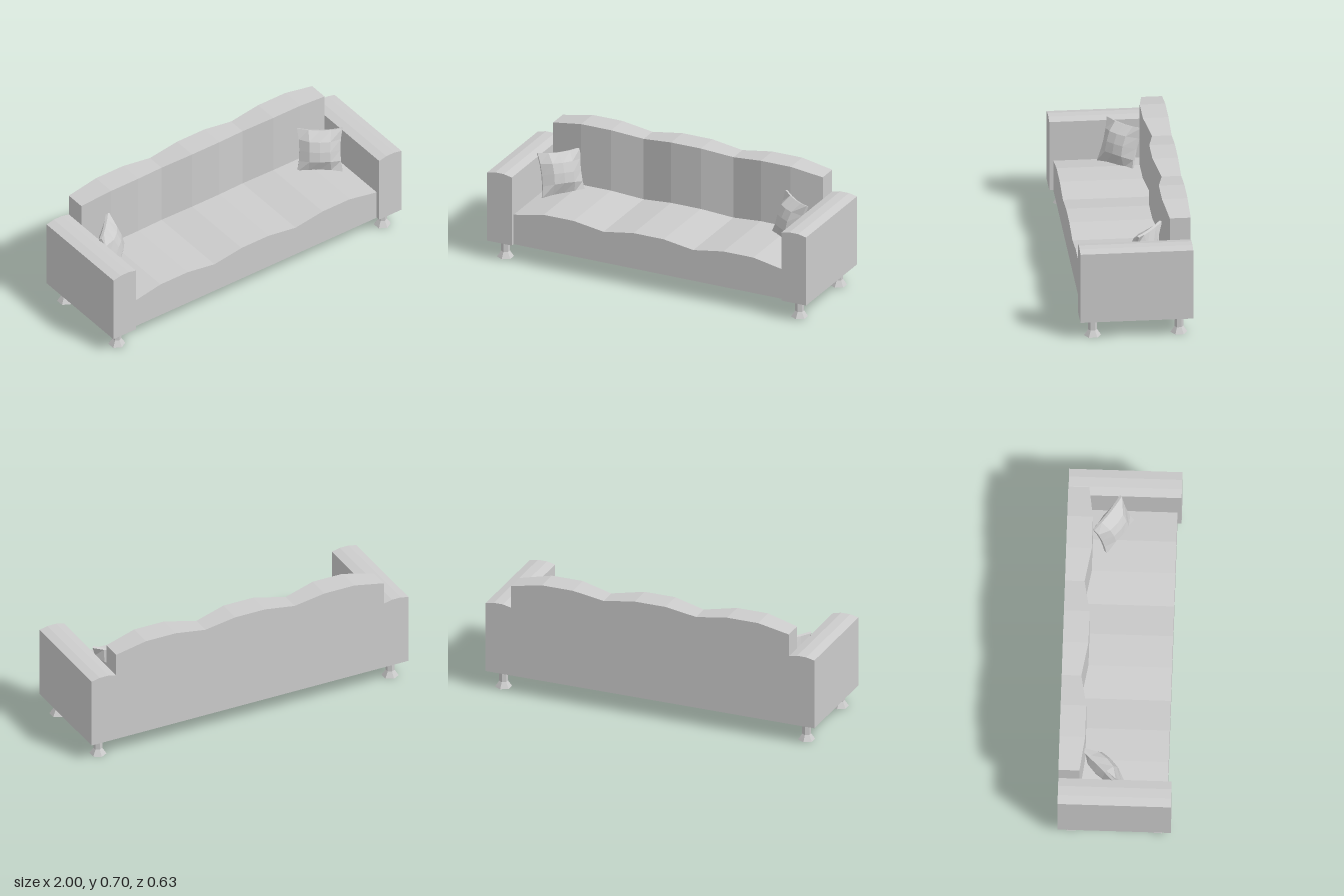
import * as THREE from 'three';

const material = new THREE.MeshStandardMaterial({ color: 0xcccccc, flatShading: true });

function addMesh(parent, geometry, name) {
  const flat = geometry.index ? geometry.toNonIndexed() : geometry;
  flat.computeVertexNormals();
  const mesh = new THREE.Mesh(flat, material);
  mesh.name = name;
  parent.add(mesh);
  return mesh;
}

// Skin four-cornered sections { x, top, back, front } that share one floor height
function loft(sections, floor) {
  const pos = [], idx = [];
  for (const { x, top, back, front } of sections) {
    pos.push(x, floor, back, x, floor, front, x, top, front, x, top, back);
  }
  const last = (sections.length - 1) * 4;
  for (let s = 0; s < last; s += 4) {
    for (let k = 0; k < 4; k++) {
      const a = s + k, b = s + (k + 1) % 4;
      idx.push(b, a, a + 4, b, a + 4, b + 4);
    }
  }
  idx.push(0, 1, 2, 0, 2, 3, last, last + 2, last + 1, last, last + 3, last + 2);
  const g = new THREE.BufferGeometry();
  g.setAttribute('position', new THREE.Float32BufferAttribute(pos, 3));
  g.setIndex(idx);
  return g;
}

// Square cushion: thick in the middle, pinched at the rim, sides drawn inwards
function pillowGeometry(size, thickness) {
  const g = new THREE.BoxGeometry(size, size, thickness, 4, 4, 1);
  const p = g.attributes.position;
  for (let i = 0; i < p.count; i++) {
    const u = p.getX(i) / (size / 2), v = p.getY(i) / (size / 2);
    const puff = 0.12 + 0.88 * Math.sqrt((1 - u * u) * (1 - v * v));
    p.setXYZ(i,
      p.getX(i) * (1 - 0.1 * (1 - v * v)),
      p.getY(i) * (1 - 0.1 * (1 - u * u)),
      p.getZ(i) * puff);
  }
  return g;
}

export function createModel() {
  const sofa = new THREE.Group();
  sofa.name = 'sofa';
  const floor = 0.11, half = 0.845, rear = -0.317;

  // Three soft swells across the width, shared by seat and backrest
  const stations = [];
  for (let i = 0; i <= 9; i++) {
    const swell = i % 3 ? 1 : 0;
    const valley = !swell && i > 0 && i < 9 ? 0.008 : 0;
    stations.push({ x: -half + (2 * half * i) / 9, swell, valley });
  }
  const face = (s) => -0.199 + 0.026 * s.swell - s.valley;

  addMesh(sofa, loft(stations.map((s) => ({
    x: s.x, top: 0.29 + 0.037 * s.swell + s.valley, back: face(s), front: 0.295,
  })), floor), 'seat');

  addMesh(sofa, loft(stations.map((s) => ({
    x: s.x, top: 0.66 + 0.037 * s.swell + s.valley, back: rear, front: face(s),
  })), floor), 'backrest');

  // Arms with a shallow crowned top
  const arm = new THREE.Shape([
    [half, floor], [1, floor], [1, 0.527], [0.95, 0.538], [0.895, 0.538], [half, 0.527],
  ].map(([x, y]) => new THREE.Vector2(x, y)));
  for (const side of [1, -1]) {
    const g = new THREE.ExtrudeGeometry(arm, { depth: 0.635, bevelEnabled: false });
    g.translate(side > 0 ? 0 : -1 - half, 0, rear);
    addMesh(sofa, g, side > 0 ? 'leftArm' : 'rightArm');
  }

  // Six-sided legs with flared feet
  const legProfile = [[0, 0], [0.048, 0], [0.025, 0.035], [0.025, floor]]
    .map(([r, y]) => new THREE.Vector2(r, y));
  for (const x of [-0.922, 0.922]) {
    for (const z of [-0.243, 0.243]) {
      const leg = addMesh(sofa, new THREE.LatheGeometry(legProfile, 6),
        (z > 0 ? 'front' : 'rear') + (x > 0 ? 'Left' : 'Right') + 'Leg');
      leg.position.set(x, 0, z);
    }
  }

  // Throw pillows leaning into the corners
  const pillows = [
    ['rightPillow', -0.73, 0.427, -0.07, 0.79],
    ['leftPillow', 0.71, 0.432, -0.06, -0.62],
  ];
  for (const [name, x, y, z, turn] of pillows) {
    const pillow = addMesh(sofa, pillowGeometry(0.255, 0.12), name);
    pillow.position.set(x, y, z);
    pillow.rotation.set(-0.35, turn, 0, 'YXZ');
  }
  return sofa;
}
